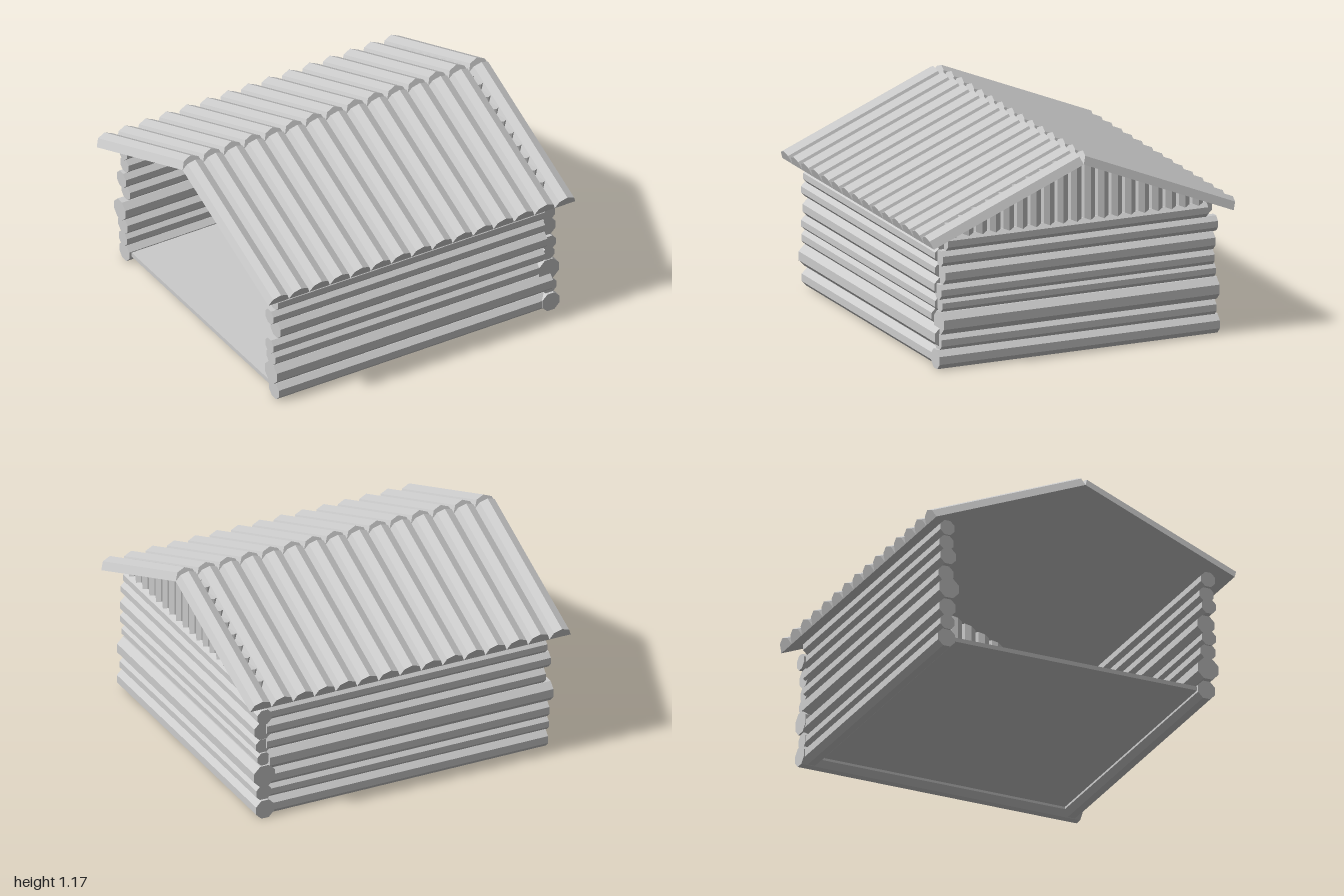
import * as THREE from 'three';

const material = new THREE.MeshStandardMaterial({ color: 0xcccccc, flatShading: true });

function addMesh(parent, name, geometry) {
  const mesh = new THREE.Mesh(geometry, material);
  mesh.name = name;
  parent.add(mesh);
  return mesh;
}

// Octagonal log lying along x or z between two ends; offset is its place on the other axis
function addLog(parent, name, axis, offset, [y, radius, start, end]) {
  const g = new THREE.CylinderGeometry(radius, radius, end - start, 8).rotateY(Math.PI / 8);
  const mid = (start + end) / 2;
  if (axis === 'x') g.rotateZ(Math.PI / 2).translate(mid, y, offset);
  else g.rotateX(Math.PI / 2).translate(offset, y, mid);
  addMesh(parent, name, g);
}

// Each log: centre height, radius, start, end
const frontLogs = [
  [0.058, 0.057, -0.89, 0.86], [0.18, 0.068, -0.91, 0.89], [0.285, 0.05, -0.91, 0.81],
  [0.365, 0.047, -0.92, 0.85], [0.465, 0.057, -0.88, 0.86], [0.56, 0.047, -0.92, 0.85],
  [0.645, 0.047, -0.89, 0.85], [0.728, 0.047, -0.91, 0.87],
];
const backLogs = [
  [0.058, 0.057, -0.89, 0.87], [0.15, 0.047, -0.9, 0.88], [0.24, 0.055, -0.9, 0.86],
  [0.35, 0.065, -0.92, 0.85], [0.455, 0.05, -0.88, 0.86], [0.55, 0.052, -0.91, 0.86],
  [0.64, 0.047, -0.89, 0.85], [0.728, 0.047, -0.9, 0.87],
];
const sideLogs = [
  [0.058, 0.06, -0.866, 0.856], [0.155, 0.05, -0.85, 0.84], [0.265, 0.07, -0.86, 0.835],
  [0.368, 0.042, -0.85, 0.83], [0.445, 0.047, -0.84, 0.84], [0.542, 0.057, -0.84, 0.82],
  [0.638, 0.048, -0.86, 0.83], [0.725, 0.048, -0.8, 0.8],
];

const RIDGE = 1.11, PITCH = 0.391, SLOPE_LENGTH = 0.996;

// One roof slope: half-octagon logs laid side by side, running down toward +z
function roofSlope() {
  const slope = new THREE.Group();
  const count = 15, radius = 1 / count;
  const shape = new THREE.Shape();
  for (let i = 0; i <= 4; i++) {
    const a = (i * Math.PI) / 4;
    shape[i ? 'lineTo' : 'moveTo'](radius * Math.cos(a), radius * Math.sin(a));
  }
  shape.closePath();
  const g = new THREE.ExtrudeGeometry(shape, { depth: SLOPE_LENGTH, bevelEnabled: false });
  g.rotateX(PITCH);
  for (let i = 0; i < count; i++) {
    addMesh(slope, 'roofLog', g).position.set(-1 + radius * (2 * i + 1), RIDGE, 0);
  }
  return slope;
}

export function createModel() {
  const cabin = new THREE.Group();
  cabin.name = 'logCabin';

  // Floor
  addMesh(cabin, 'floor', new THREE.BoxGeometry(1.75, 0.025, 1.58)).position.set(0, 0.062, 0);

  // Three log walls; the left side stays open
  const walls = [
    ['frontWall', 'x', 0.8, frontLogs],
    ['backWall', 'x', -0.805, backLogs],
    ['rightEndWall', 'z', 0.88, sideLogs],
  ];
  for (const [name, axis, offset, logs] of walls) {
    const wall = new THREE.Group();
    wall.name = name;
    logs.forEach((log) => addLog(wall, 'wallLog', axis, offset, log));
    cabin.add(wall);
  }

  // Gable of upright poles, flat tops just breaking through the roof valley
  const gable = new THREE.Group();
  gable.name = 'gable';
  const polesPerSide = 9, spacing = 0.083, base = 0.75;
  for (let i = -polesPerSide; i <= polesPerSide; i++) {
    const z = i * spacing;
    const top = RIDGE - Math.abs(z) * Math.tan(PITCH) + (i ? 0.028 : 0);
    const pole = new THREE.CylinderGeometry(0.047, 0.047, top - base, 8);
    addMesh(gable, 'gablePole', pole).position.set(0.866, (top + base) / 2, z);
  }
  cabin.add(gable);

  // Roof
  const front = roofSlope();
  front.name = 'frontRoof';
  const back = roofSlope();
  back.name = 'backRoof';
  back.rotation.y = Math.PI;
  cabin.add(front, back);

  return cabin;
}
